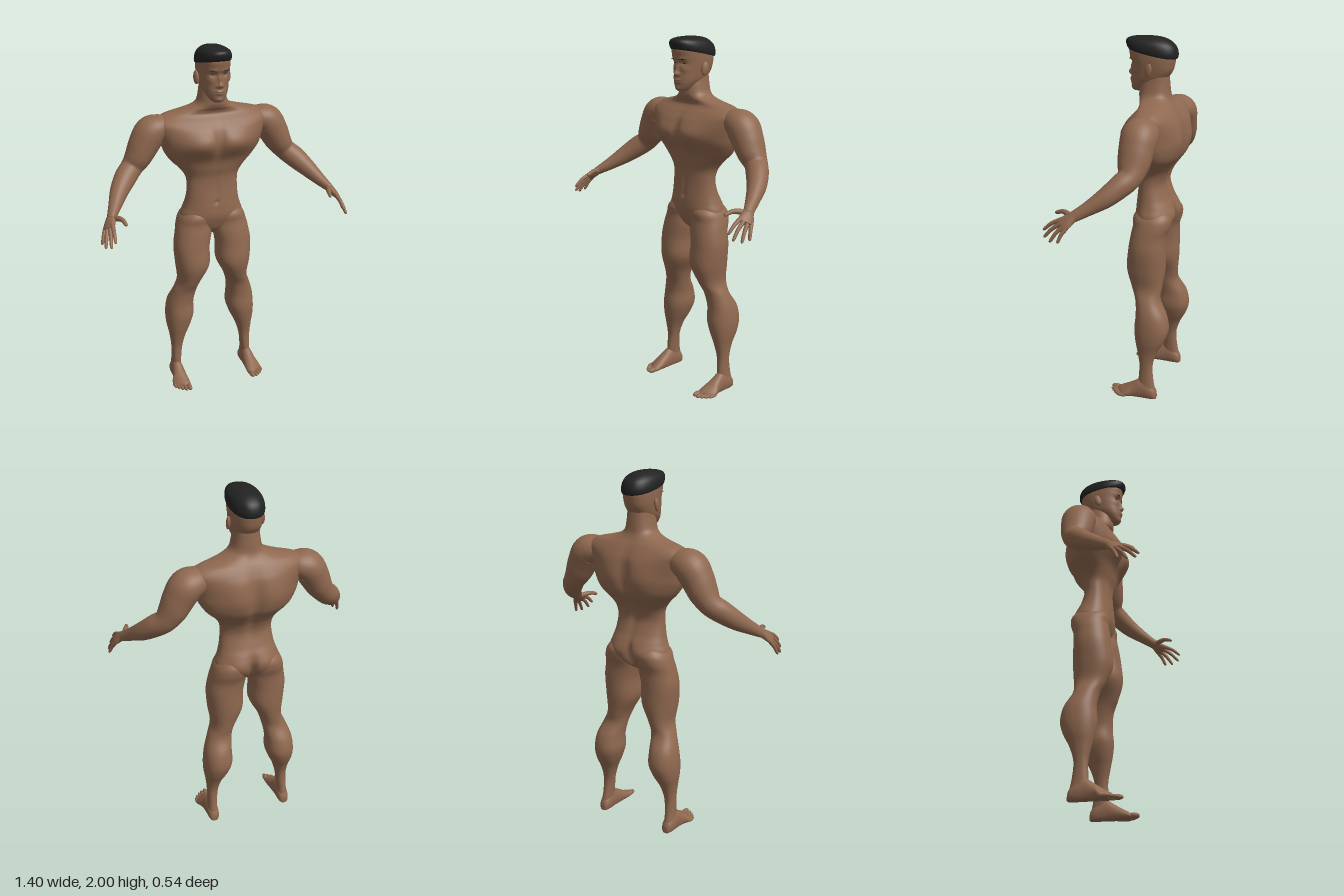
import * as THREE from 'three';

const skin = new THREE.MeshStandardMaterial({ color: 0x8f684f });
skin.name = 'skin';
const hair = new THREE.MeshStandardMaterial({ color: 0x222222 });
hair.name = 'hair';

// Catmull-Rom interpolation of every column of a short table
function dense(rows, k) {
  const out = [];
  for (let i = 0; i < rows.length - 1; i++) {
    const p = [rows[Math.max(0, i - 1)], rows[i], rows[i + 1], rows[Math.min(rows.length - 1, i + 2)]];
    for (let s = 0; s < k; s++) {
      const t = s / k;
      out.push(p[0].map((a, c) => {
        const b = p[1][c], d = p[2][c], e = p[3][c];
        return b + 0.5 * t * (d - a + t * (2 * a - 5 * b + 4 * d - e + t * (3 * (b - d) + e - a)));
      }));
    }
  }
  out.push(rows[rows.length - 1]);
  return out;
}

// Closed smooth surface through rings of points; side = -1 mirrors it
function surface(rings, side = 1) {
  const n = rings[0].length, m = rings.length, pos = [], idx = [];
  rings.forEach(r => r.forEach(p => pos.push(p.x * side, p.y, p.z)));
  for (const r of [rings[0], rings[m - 1]]) {
    const c = r.reduce((a, p) => a.add(p), new THREE.Vector3()).divideScalar(n);
    pos.push(c.x * side, c.y, c.z);
  }
  for (let j = 0; j < n; j++) {
    const q = (j + 1) % n;
    for (let i = 0; i < m - 1; i++) {
      const a = i * n + j, b = i * n + q;
      idx.push(a, a + n, b, b, a + n, b + n);
    }
    idx.push(m * n, j, q, m * n + 1, (m - 1) * n + q, (m - 1) * n + j);
  }
  // face outward whatever the direction of the rings
  const v = i => new THREE.Vector3().fromArray(pos, i * 3);
  let volume = 0;
  for (let i = 0; i < idx.length; i += 3) volume += v(idx[i]).dot(v(idx[i + 1]).cross(v(idx[i + 2])));
  if (volume < 0) idx.reverse();
  const g = new THREE.BufferGeometry();
  g.setAttribute('position', new THREE.Float32BufferAttribute(pos, 3));
  g.setIndex(idx);
  g.computeVertexNormals();
  return g;
}

// Level sections [y, centre x, half width, front z, back z, tilt].
// Bumps [|x|, y, front 1 / back -1, spread x, spread y, height] model the muscles.
function body(rows, { n = 64, k = 6, e = 0.9, bumps = [], side = 1 } = {}) {
  return surface(dense(rows, k).map(([y, cx, w, zf, zb, tilt = 0]) => {
    const ring = [];
    for (let j = 0; j < n; j++) {
      const a = j / n * Math.PI * 2, c = Math.cos(a), s = Math.sin(a);
      const x = cx + w * Math.sign(c) * Math.abs(c) ** e;
      let z = (zf + zb) / 2 + (zf - zb) / 2 * Math.sign(s) * Math.abs(s) ** e;
      for (const [bx, by, f, sx, sy, h] of bumps) {
        if (s * f > 0) z += f * h * Math.sqrt(s * f) *
          Math.exp(-(((Math.abs(x) - bx) / sx) ** 2) - ((y - by) / sy) ** 2);
      }
      ring.push(new THREE.Vector3(x, y + tilt * (z - 0.05), z));
    }
    return ring;
  }), side);
}

// Limb along points [x, y, z, radius along ref, radius across]
function limb(rows, ref, { n = 32, k = 6, side = 1 } = {}) {
  const d = dense(rows, k), P = d.map(r => new THREE.Vector3(r[0], r[1], r[2]));
  return surface(P.map((p, i) => {
    const t = P[Math.min(i + 1, P.length - 1)].clone().sub(P[Math.max(i - 1, 0)]).normalize();
    const u = new THREE.Vector3(...ref);
    u.addScaledVector(t, -u.dot(t)).normalize();
    const w = t.cross(u);
    return Array.from({ length: n }, (_, j) => {
      const a = j / n * Math.PI * 2;
      return p.clone().addScaledVector(u, d[i][3] * Math.cos(a)).addScaledVector(w, d[i][4] * Math.sin(a));
    });
  }), side);
}

const torsoRows = [
  [0.93, 0, 0.02, -0.08, -0.14], [0.96, 0, 0.08, -0.045, -0.18], [1.0, 0, 0.17, -0.025, -0.21],
  [1.05, 0, 0.182, -0.01, -0.222], [1.1, 0, 0.165, -0.01, -0.212], [1.15, 0, 0.152, -0.015, -0.19],
  [1.22, 0, 0.145, -0.022, -0.17], [1.28, 0, 0.152, -0.022, -0.185], [1.33, 0, 0.185, -0.01, -0.215],
  [1.38, 0, 0.235, 0.003, -0.245], [1.44, 0, 0.272, 0.03, -0.255], [1.5, 0, 0.29, 0.04, -0.255],
  [1.56, 0, 0.31, 0.028, -0.25], [1.6, 0, 0.322, 0, -0.235], [1.635, 0, 0.27, -0.033, -0.215],
  [1.655, 0, 0.19, -0.033, -0.2], [1.675, 0, 0.12, -0.02, -0.188], [1.7, 0, 0.085, -0.012, -0.18],
  [1.75, 0, 0.072, -0.015, -0.175], [1.8, 0, 0.066, -0.03, -0.17]];
const torsoBumps = [
  [0.1, 1.49, 1, 0.1, 0.06, 0.03], [0, 1.5, 1, 0.02, 0.09, -0.018], [0, 1.2, 1, 0.012, 0.13, -0.005],
  [0, 1.135, 1, 0.01, 0.01, -0.008], [0.1, 1.47, -1, 0.09, 0.1, 0.022], [0, 1.4, -1, 0.028, 0.2, -0.018],
  [0.085, 1.04, -1, 0.06, 0.06, 0.015], [0, 1.01, -1, 0.016, 0.07, -0.035]];

const headRows = [
  [1.713, 0, 0.02, 0.018, -0.03], [1.722, 0, 0.036, 0.028, -0.06], [1.75, 0, 0.056, 0.033, -0.1],
  [1.78, 0, 0.07, 0.034, -0.155], [1.82, 0, 0.078, 0.031, -0.188], [1.86, 0, 0.083, 0.031, -0.2],
  [1.9, 0, 0.085, 0.041, -0.203], [1.935, 0, 0.082, 0.044, -0.185], [1.955, 0, 0.06, 0.02, -0.14],
  [1.962, 0, 0.02, -0.03, -0.1]];
const headBumps = [
  [0, 1.808, 1, 0.012, 0.014, 0.021], [0, 1.838, 1, 0.009, 0.022, 0.012], [0.015, 1.803, 1, 0.008, 0.008, 0.007],
  [0.033, 1.862, 1, 0.017, 0.011, -0.011], [0.03, 1.885, 1, 0.028, 0.009, 0.004],
  [0, 1.77, 1, 0.022, 0.012, 0.012], [0, 1.768, 1, 0.024, 0.003, -0.007],
  [0.048, 1.83, 1, 0.018, 0.018, 0.005], [0, 1.73, 1, 0.02, 0.012, 0.006]];

const hairRows = [
  [1.935, 0, 0.07, 0.03, -0.19, 0.19], [1.937, 0, 0.087, 0.05, -0.212, 0.19], [1.963, 0, 0.089, 0.063, -0.217, 0.17],
  [1.985, 0, 0.078, 0.055, -0.2, 0.11], [1.997, 0, 0.05, 0.02, -0.15, 0.04], [2.0, 0, 0.015, -0.03, -0.08, 0]];

const legRows = [
  [1.1, 0.085, 0.05, -0.05, -0.18], [1.05, 0.095, 0.088, -0.015, -0.222], [1.0, 0.103, 0.1, -0.015, -0.222],
  [0.94, 0.112, 0.104, -0.005, -0.203], [0.86, 0.125, 0.102, 0.005, -0.2], [0.75, 0.123, 0.096, 0.014, -0.2],
  [0.65, 0.142, 0.066, -0.017, -0.19], [0.58, 0.165, 0.068, -0.048, -0.188], [0.5, 0.185, 0.076, -0.058, -0.23],
  [0.42, 0.19, 0.081, -0.052, -0.245], [0.35, 0.2, 0.069, -0.06, -0.225], [0.28, 0.21, 0.047, -0.075, -0.188],
  [0.2, 0.217, 0.032, -0.089, -0.164], [0.11, 0.222, 0.027, -0.085, -0.17], [0.04, 0.225, 0.029, -0.085, -0.185]];

const footRows = [
  [-0.19, 0.224, 0.012, 0.035], [-0.18, 0.224, 0.026, 0.06], [-0.15, 0.224, 0.033, 0.09], [-0.1, 0.225, 0.034, 0.11],
  [-0.05, 0.226, 0.039, 0.082], [0, 0.23, 0.047, 0.054], [0.035, 0.231, 0.047, 0.034], [0.05, 0.228, 0.036, 0.022]];

const armRows = [
  [0.23, 1.565, -0.13, 0.06, 0.05], [0.28, 1.565, -0.13, 0.085, 0.072], [0.335, 1.545, -0.13, 0.095, 0.087],
  [0.375, 1.485, -0.127, 0.09, 0.083], [0.41, 1.42, -0.125, 0.082, 0.073], [0.45, 1.365, -0.118, 0.064, 0.06],
  [0.495, 1.325, -0.082, 0.058, 0.06], [0.545, 1.275, -0.025, 0.05, 0.05], [0.59, 1.225, 0.05, 0.036, 0.035],
  [0.622, 1.192, 0.105, 0.029, 0.024], [0.632, 1.182, 0.122, 0.026, 0.02]];
const palmAxis = [-0.033, 0.025, 0.055];
const palmRows = [
  [0.62, 1.195, 0.1, 0.024, 0.022], [0.632, 1.18, 0.123, 0.032, 0.021],
  [0.645, 1.162, 0.145, 0.04, 0.018], [0.656, 1.146, 0.163, 0.038, 0.013]];
// knuckle, tip
const fingers = [
  [[0.636, 1.168, 0.18], [0.645, 1.108, 0.268]], [[0.649, 1.154, 0.172], [0.665, 1.077, 0.256]],
  [[0.66, 1.143, 0.154], [0.686, 1.063, 0.216]], [[0.666, 1.14, 0.133], [0.694, 1.067, 0.17]]];

export function createModel() {
  const model = new THREE.Group();
  model.name = 'figure';
  const add = (name, geometry, material = skin) => {
    const mesh = new THREE.Mesh(geometry, material);
    mesh.name = name;
    model.add(mesh);
    return mesh;
  };

  add('torso', body(torsoRows, { n: 96, k: 8, bumps: torsoBumps }));
  const head = body(headRows, { n: 128, k: 10, e: 0.88, bumps: headBumps });
  add('head', head);
  add('hair', body(hairRows, { n: 64, e: 0.88 }), hair);

  // depth of the face at a point, for placing brows and eyes
  const p = head.attributes.position;
  const faceZ = (x, y) => {
    let best = 1, z = 0;
    for (let i = 0; i < p.count; i++) {
      const d = Math.hypot(p.getX(i) - x, p.getY(i) - y);
      if (p.getZ(i) > -0.04 && d < best) { best = d; z = p.getZ(i); }
    }
    return z;
  };

  for (const side of [1, -1]) {
    const tag = side > 0 ? 'left' : 'right';
    add(tag + 'Leg', body(legRows, { side, n: 48 }));
    add(tag + 'Arm', limb(armRows, [0, 0.2, 1], { side }));
    add(tag + 'Palm', limb(palmRows, palmAxis, { side }));

    // fingers bend slightly between knuckle and tip
    fingers.forEach(([a, b], i) => {
      const at = (t, lift, r) => [...a.map((v, c) => v + (b[c] - v) * t + (c === 1 ? lift : 0)), r, r];
      add(tag + 'Finger' + (i + 1), limb([at(-0.25, 0, 0.008), at(0, 0, 0.0115), at(0.5, 0.008, 0.01),
        at(0.9, 0.002, 0.008), at(1, 0, 0.003)], palmAxis, { side, n: 12, k: 4 }));
    });
    add(tag + 'Thumb', limb([[0.622, 1.185, 0.118, 0.014, 0.014], [0.602, 1.193, 0.15, 0.015, 0.015],
      [0.586, 1.196, 0.185, 0.012, 0.012], [0.577, 1.184, 0.222, 0.009, 0.009], [0.575, 1.18, 0.23, 0.003, 0.003]],
      [0, 1, 0], { side, n: 12, k: 4 }));

    // flat-soled foot, slanting back toward the small toe
    add(tag + 'Foot', surface(dense(footRows, 5).map(([z, cx, w, h]) => Array.from({ length: 32 }, (_, j) => {
      const a = j / 32 * Math.PI * 2, x = cx + w * Math.cos(a);
      const slant = Math.max(0, x - 0.21) * 0.6 * THREE.MathUtils.smoothstep(z, -0.08, 0.04);
      return new THREE.Vector3(x, h * Math.max(0, 0.4 + 0.6 * Math.sin(a)), z - slant);
    })), side));
    [[0.2, 0.088, 0.015], [0.222, 0.085, 0.011], [0.241, 0.072, 0.0105], [0.258, 0.056, 0.01], [0.273, 0.036, 0.01]]
      .forEach(([x, z, r], i) => {
        const toe = add(tag + 'Toe' + (i + 1), new THREE.SphereGeometry(1, 14, 10));
        toe.scale.set(r, r, 0.032);
        toe.position.set(x * side, r, z - 0.032);
      });

    // ear, brow and eye line
    const ear = add(tag + 'Ear', new THREE.SphereGeometry(1, 16, 12));
    ear.scale.set(0.012, 0.037, 0.021);
    ear.position.set(0.09 * side, 1.832, -0.085);
    ear.rotation.set(-0.2, side * -0.35, 0);
    for (const [name, x, y, w, h] of [['Brow', 0.036, 1.884, 0.019, 0.0025], ['Eye', 0.034, 1.862, 0.012, 0.003]]) {
      const part = add(tag + name, new THREE.SphereGeometry(1, 14, 8), hair);
      part.scale.set(w, h, 0.0035);
      part.position.set(x * side, y, faceZ(x, y));
      part.rotation.y = side * 0.3;
    }
  }
  return model;
}
